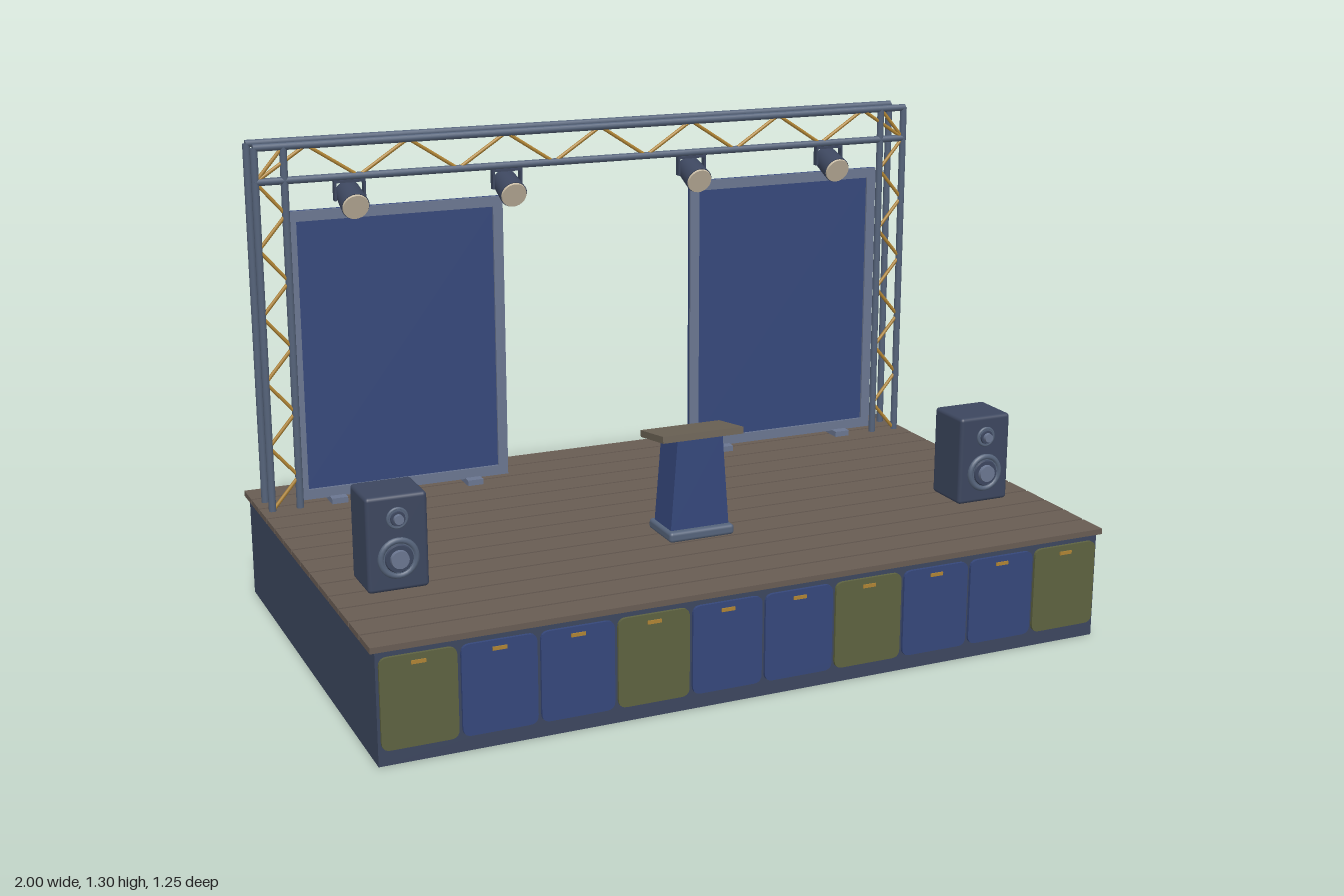
import * as THREE from 'three';
import { RoundedBoxGeometry } from 'three/addons/geometries/RoundedBoxGeometry.js';

const mat = (name, color) => {
  const m = new THREE.MeshStandardMaterial({ color });
  m.name = name;
  return m;
};

export function createModel() {
  const slate = mat('slate', 0x3c465e);
  const blue = mat('blue', 0x35477a);
  const olive = mat('olive', 0x5d6240);
  const wood = mat('deck wood', 0x685c53);
  const board = mat('lectern wood', 0x6a6154);
  const steel = mat('steel', 0x55637a);
  const frameGrey = mat('frame grey', 0x6a7690);
  const gold = mat('gold', 0xae8334);
  const lens = mat('lens', 0xc8bba4);

  const root = new THREE.Group();
  root.name = 'stage';

  const add = (name, geo, material, x = 0, y = 0, z = 0, parent = root) => {
    const m = new THREE.Mesh(geo, material);
    m.name = name;
    m.position.set(x, y, z);
    parent.add(m);
    return m;
  };
  const box = (name, w, h, d, material, x, y, z, parent) =>
    add(name, new THREE.BoxGeometry(w, h, d), material, x, y, z, parent);
  const group = (name, x = 0, y = 0, z = 0) => {
    const g = new THREE.Group();
    g.name = name;
    g.position.set(x, y, z);
    root.add(g);
    return g;
  };

  // straight round bar between two points
  const bar = (name, a, b, r, material, parent) => {
    const p = new THREE.Vector3(...a), q = new THREE.Vector3(...b);
    const d = q.clone().sub(p);
    const m = add(name, new THREE.CylinderGeometry(r, r, d.length(), 10), material, 0, 0, 0, parent);
    m.position.copy(p).add(q).multiplyScalar(0.5);
    m.quaternion.setFromUnitVectors(new THREE.Vector3(0, 1, 0), d.normalize());
  };

  // base and planked deck
  box('base', 1.975, 0.285, 1.228, slate, 0, 0.1425, 0);
  const planks = 14, pitch = 1.25 / planks;
  for (let i = 0; i < planks; i++) {
    box('plank', 2, 0.015, pitch - 0.007, wood, 0, 0.2925, -0.625 + (i + 0.5) * pitch);
  }

  // rounded front panels with small pulls
  const pw = 0.188, ph = 0.23, pr = 0.022;
  const s = new THREE.Shape();
  s.moveTo(-pw / 2 + pr, -ph / 2);
  s.lineTo(pw / 2 - pr, -ph / 2);
  s.quadraticCurveTo(pw / 2, -ph / 2, pw / 2, -ph / 2 + pr);
  s.lineTo(pw / 2, ph / 2 - pr);
  s.quadraticCurveTo(pw / 2, ph / 2, pw / 2 - pr, ph / 2);
  s.lineTo(-pw / 2 + pr, ph / 2);
  s.quadraticCurveTo(-pw / 2, ph / 2, -pw / 2, ph / 2 - pr);
  s.lineTo(-pw / 2, -ph / 2 + pr);
  s.quadraticCurveTo(-pw / 2, -ph / 2, -pw / 2 + pr, -ph / 2);
  const panelGeo = new THREE.ExtrudeGeometry(s, { depth: 0.009, bevelEnabled: false, curveSegments: 5 });
  for (let i = 0; i < 10; i++) {
    const x = (i - 4.5) * 0.197;
    add('frontPanel', panelGeo, i % 3 === 0 ? olive : blue, x, 0.155, 0.613);
    box('panelPull', 0.036, 0.009, 0.004, gold, x, 0.25, 0.623);
  }

  // truss: three chords per section, lattice on the front plane
  const truss = group('truss');
  const zf = -0.415, zb = -0.5, xo = 0.97, xi = 0.893, yt = 1.29, yl = 1.2, r = 0.01;
  for (const sx of [-1, 1]) {
    for (const [x, z] of [[xo, zf], [xi, zf], [xo, zb]]) {
      bar('post', [sx * x, 0.3, z], [sx * x, yt, z], r, steel, truss);
    }
    const n = 10, step = (yl - 0.3) / n;
    for (let i = 0; i < n; i++) {
      const xa = i % 2 ? xi : xo, xb = i % 2 ? xo : xi;
      bar('postLattice', [sx * xa, 0.3 + i * step, zf], [sx * xb, 0.3 + (i + 1) * step, zf], 0.005, gold, truss);
    }
    bar('postLattice', [sx * xo, yl, zf], [sx * xi, yt, zf], 0.005, gold, truss);
  }
  for (const [y, z] of [[yt, zf], [yl, zf], [yt, zb]]) {
    bar('beamChord', [-xo - 0.003, y, z], [xo + 0.003, y, z], r, steel, truss);
  }
  for (let i = 0; i < 14; i++) {
    const x0 = -xo + (i * 2 * xo) / 14, x1 = x0 + (2 * xo) / 14;
    bar('beamLattice', [x0, i % 2 ? yt : yl, zf], [x1, i % 2 ? yl : yt, zf], 0.005, gold, truss);
  }

  // screens with a raised front border and two feet
  for (const sx of [-1, 1]) {
    const g = group('screen', sx * 0.588, 0.713, -0.444);
    const w = 0.606, h = 0.8, b = 0.028;
    box('screenPanel', w, h, 0.01, blue, 0, 0, 0, g);
    for (const k of [-1, 1]) {
      box('screenBorder', w, b, 0.007, frameGrey, 0, k * (h - b) / 2, 0.0085, g);
      box('screenBorder', b, h - 2 * b, 0.007, frameGrey, k * (w - b) / 2, 0, 0.0085, g);
      box('screenFoot', 0.045, 0.016, 0.085, frameGrey, k * 0.196, -0.405, -0.003, g);
    }
  }

  // spotlights hung from the lower chord
  for (const x of [-0.72, -0.278, 0.278, 0.72]) {
    const g = group('spotlight', x, 1.142, -0.398);
    const lamp = new THREE.Group();
    lamp.name = 'lamp';
    lamp.rotation.x = Math.PI / 2 + 0.36;
    g.add(lamp);
    add('lampBody', new THREE.CylinderGeometry(0.038, 0.034, 0.08, 24), slate, 0, 0, 0, lamp);
    add('lampLens', new THREE.CylinderGeometry(0.035, 0.036, 0.006, 24), lens, 0, 0.043, 0, lamp);
    for (const k of [-1, 1]) box('yokeArm', 0.006, 0.05, 0.018, slate, k * 0.04, 0.02, -0.017, g);
    box('yokeTop', 0.086, 0.007, 0.018, slate, 0, 0.046, -0.017, g);
  }

  // loudspeakers
  const disc = (name, rad, depth, material, y, z, g) => {
    const m = add(name, new THREE.CylinderGeometry(rad * 0.94, rad, depth, 28), material, 0, y, z, g);
    m.rotation.x = Math.PI / 2;
  };
  for (const sx of [-1, 1]) {
    const g = group('speaker', sx * 0.832, 0.3, 0.235);
    add('speakerBox', new RoundedBoxGeometry(0.155, 0.244, 0.137, 3, 0.01), slate, 0, 0.123, 0, g);
    for (const [y, rad] of [[0.086, 0.053], [0.188, 0.028]]) {
      add('driverRing', new THREE.TorusGeometry(rad * 0.85, rad * 0.15, 8, 28), steel, 0, y, 0.071, g);
      disc('driverCone', rad * 0.85, 0.01, steel, y, 0.07, g);
      disc('driverSurround', rad * 0.68, 0.004, slate, y, 0.077, g);
      disc('driverCap', rad * 0.45, 0.012, frameGrey, y, 0.083, g);
    }
  }

  // lectern: base, tapered body, sloping top
  const lectern = group('lectern', 0, 0.3, 0.195);
  add('lecternBase', new RoundedBoxGeometry(0.185, 0.028, 0.14, 3, 0.009), steel, 0, 0.014, 0, lectern);
  const body = new THREE.BoxGeometry(0.166, 0.24, 0.104);
  const p = body.attributes.position;
  for (let i = 0; i < p.count; i++) {
    if (p.getY(i) > 0) {
      p.setX(i, p.getX(i) * 0.77);
      p.setY(i, p.getY(i) + p.getZ(i) * 0.14);
    }
  }
  body.computeVertexNormals();
  add('lecternBody', body, blue, 0, 0.146, 0, lectern);
  const top = box('lecternTop', 0.228, 0.018, 0.146, board, 0, 0.273, 0, lectern);
  top.rotation.x = -0.145;

  return root;
}
